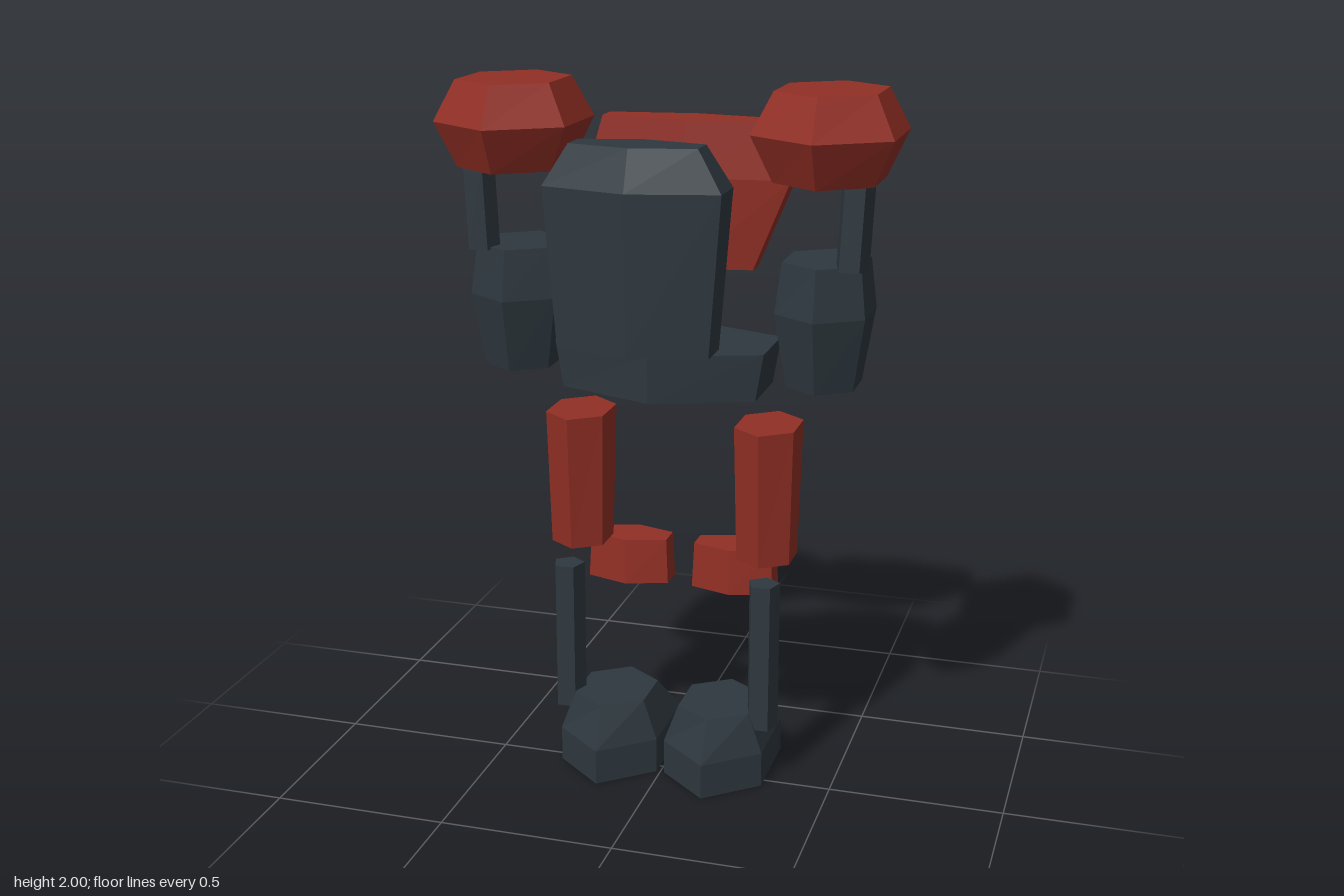
import * as THREE from 'three';

// Unit cross-sections [x, z], counterclockwise seen from above
const HEX = [[0, 1], [1, 0.5], [1, -0.5], [0, -1], [-1, -0.5], [-1, 0.5]];
const PENTA = Array.from({ length: 5 }, (_, i) => {
  const a = Math.PI + (i * Math.PI * 2) / 5;
  return [Math.sin(a), Math.cos(a)];
});

// Faceted solid through stacked rings, listed bottom to top: [y, halfX, halfZ, centreX, centreZ]
function loft(section, rings) {
  const n = section.length;
  const pts = rings.map(([y, hx, hz, cx, cz]) =>
    section.map(([x, z]) => [cx + x * hx, y, cz + z * hz]));
  const pos = [];
  const tri = (a, b, c) => pos.push(...a, ...b, ...c);
  for (let r = 0; r < pts.length - 1; r++) {
    for (let i = 0; i < n; i++) {
      const j = (i + 1) % n;
      tri(pts[r][i], pts[r][j], pts[r + 1][j]);
      tri(pts[r][i], pts[r + 1][j], pts[r + 1][i]);
    }
  }
  const top = pts[pts.length - 1], bottom = pts[0];
  for (let i = 1; i < n - 1; i++) {
    tri(top[0], top[i], top[i + 1]);
    tri(bottom[0], bottom[i + 1], bottom[i]);
  }
  const geo = new THREE.BufferGeometry();
  geo.setAttribute('position', new THREE.Float32BufferAttribute(pos, 3));
  geo.computeVertexNormals(); // unshared vertices give flat facets
  return geo;
}

export function createModel() {
  const red = new THREE.MeshStandardMaterial({ color: 0x922f25 });
  red.name = 'armour red';
  const slate = new THREE.MeshStandardMaterial({ color: 0x2e383f });
  slate.name = 'dark slate';

  const model = new THREE.Group();
  model.name = 'armouredFigure';
  const add = (name, material, section, rings) => {
    const mesh = new THREE.Mesh(loft(section, rings), material);
    mesh.name = name;
    model.add(mesh);
  };

  // Torso
  add('backpack', slate, HEX, [
    [1.34, 0.207, 0.106, 0, 0.239],
    [1.77, 0.24, 0.119, 0, 0.239],
    [1.88, 0.173, 0.079, 0, 0.239],
  ]);
  add('chestPlate', red, HEX, [
    [1.46, 0.19, 0.066, 0, -0.279],
    [1.72, 0.297, 0.084, 0, -0.279],
    [1.88, 0.252, 0.071, 0, -0.279],
  ]);
  add('pelvis', slate, HEX, [
    [1.165, 0.275, 0.207, 0, -0.05],
    [1.298, 0.297, 0.21, 0, -0.05],
  ]);

  // Limbs, mirrored left and right
  for (const [side, s] of [['left', 1], ['right', -1]]) {
    add(side + 'Shoulder', red, HEX, [
      [1.762, 0.135, 0.187, s * 0.444, -0.054],
      [1.888, 0.19, 0.25, s * 0.444, -0.054],
      [2.0, 0.136, 0.187, s * 0.444, -0.054],
    ]);
    add(side + 'UpperArm', slate, PENTA, [
      [1.535, 0.047, 0.047, s * 0.521, 0.01],
      [1.77, 0.047, 0.047, s * 0.532, 0.01],
    ]);
    add(side + 'Forearm', slate, HEX, [
      [1.195, 0.093, 0.13, s * 0.437, -0.076],
      [1.402, 0.124, 0.171, s * 0.437, -0.076],
      [1.543, 0.108, 0.146, s * 0.437, -0.076],
    ]);
    add(side + 'Thigh', red, HEX, [
      [0.66, 0.077, 0.105, s * 0.278, -0.104],
      [1.057, 0.085, 0.13, s * 0.278, -0.104],
    ]);
    add(side + 'KneeGuard', red, HEX, [
      [0.515, 0.122, 0.077, s * 0.159, -0.207],
      [0.65, 0.116, 0.07, s * 0.159, -0.207],
    ]);
    add(side + 'Shin', slate, PENTA, [
      [0.17, 0.047, 0.047, s * 0.292, -0.012],
      [0.612, 0.047, 0.047, s * 0.292, -0.012],
    ]);
    add(side + 'Foot', slate, HEX, [
      [0, 0.147, 0.25, s * 0.158, -0.09],
      [0.103, 0.147, 0.25, s * 0.158, -0.09],
      [0.22, 0.105, 0.146, s * 0.158, -0.045],
    ]);
  }
  return model;
}
